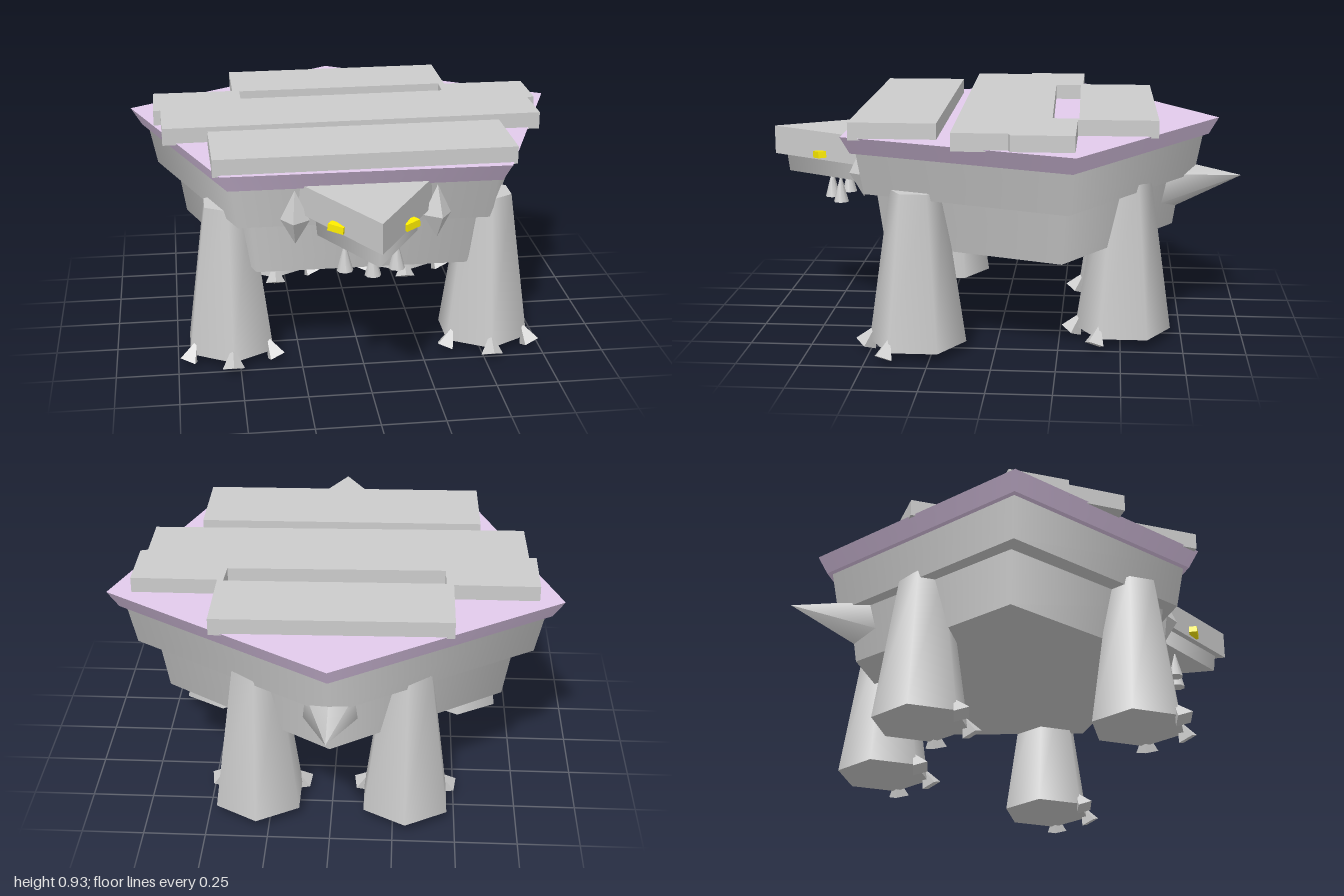
import * as THREE from 'three';

const grey = new THREE.MeshStandardMaterial({ color: 0xcccccc });
const flatGrey = new THREE.MeshStandardMaterial({ color: 0xcccccc, flatShading: true });
const purple = new THREE.MeshStandardMaterial({ color: 0xe2cbec });
const yellow = new THREE.MeshStandardMaterial({ color: 0xffee00 });

export function createModel() {
  const model = new THREE.Group();

  const add = (parent, name, geometry, material, x = 0, y = 0, z = 0) => {
    const mesh = new THREE.Mesh(geometry, material);
    mesh.name = name;
    mesh.position.set(x, y, z);
    parent.add(mesh);
    return mesh;
  };

  // Tapered pentagon tier, one corner pointing back, stretched sideways
  const tier = (name, rTop, rBottom, y0, y1, stretch, material) => {
    const g = new THREE.CylinderGeometry(rTop, rBottom, y1 - y0, 5, 1, false, Math.PI);
    g.scale(stretch, 1, 1);
    add(model, name, g, material, 0, (y0 + y1) / 2, -0.07);
  };
  tier('lowerBody', 0.68, 0.645, 0.41, 0.64, 1.12, grey);
  tier('upperBody', 0.765, 0.732, 0.63, 0.805, 1.154, grey);
  tier('shellRim', 0.829, 0.788, 0.8, 0.87, 1.154, purple);

  // Flat slabs on the shell, outlined as [x, z]
  const slab = (name, outline, hole) => {
    const points = (list) => list.map(([x, z]) => new THREE.Vector2(x, -z));
    const shape = new THREE.Shape(points(outline));
    if (hole) shape.holes.push(new THREE.Path(points(hole)));
    const g = new THREE.ExtrudeGeometry(shape, { depth: 0.07, bevelEnabled: false });
    g.rotateX(-Math.PI / 2);
    add(model, name, g, grey, 0, 0.863, 0);
  };
  slab('frontSlab', [[-0.595, 0.235], [0.59, 0.22], [0.59, 0.565], [-0.59, 0.58]]);
  slab('rearSlab',
    [[-0.775, 0.18], [0.78, 0.145], [0.78, -0.07], [0.81, -0.08], [0.81, -0.32], [0.465, -0.32],
      [0.465, -0.635], [-0.47, -0.62], [-0.47, -0.32], [-0.81, -0.32], [-0.81, -0.07], [-0.78, -0.07]],
    [[-0.44, -0.31], [0.44, -0.325], [0.435, -0.22], [-0.44, -0.2]]);

  // Legs, each with three claws fanned around the front of the foot
  const leg = (name, x, z) => {
    const group = new THREE.Group();
    group.name = name;
    group.position.set(x, 0, z);
    model.add(group);
    add(group, 'legColumn', new THREE.CylinderGeometry(0.105, 0.195, 0.62, 6), grey, 0, 0.35, 0);
    for (const angle of [-1, 0, 1]) {
      const claw = add(group, 'claw', new THREE.ConeGeometry(0.045, 0.09, 4), flatGrey,
        Math.sin(angle) * 0.19, 0.061, Math.cos(angle) * 0.19);
      claw.rotation.set(-0.5, angle, 0, 'YXZ');
    }
  };
  for (const side of [-1, 1]) {
    leg('frontLeg', side * 0.53, 0.31);
    leg('backLeg', side * 0.3, -0.51);
  }

  // Wedge-shaped head and jaw
  const head = new THREE.Group();
  head.name = 'head';
  model.add(head);
  add(head, 'skull', new THREE.CylinderGeometry(0.3, 0.3, 0.12, 3), flatGrey, 0, 0.75, 0.69);
  add(head, 'jaw', new THREE.CylinderGeometry(0.235, 0.225, 0.08, 3), grey, 0, 0.655, 0.705);

  // Chin spikes, wide end down
  for (const [x, z] of [[-0.1, 0.69], [0, 0.745], [0.1, 0.69]]) {
    add(head, 'chinSpike', new THREE.ConeGeometry(0.032, 0.12, 8), grey, x, 0.565, z);
  }

  // Eyes and diamond-shaped cheek horns
  for (const side of [-1, 1]) {
    const eye = add(head, 'eye', new THREE.BoxGeometry(0.065, 0.028, 0.035), yellow, side * 0.138, 0.715, 0.77);
    eye.rotation.set(0, side * 0.55, side * 0.12, 'YXZ');

    const profile = [[0, -0.1], [0.058, 0], [0, 0.12]].map(([r, y]) => new THREE.Vector2(r, y));
    const horn = add(head, 'cheekHorn', new THREE.LatheGeometry(profile, 4), flatGrey, side * 0.278, 0.67, 0.56);
    horn.rotation.y = side * 0.2;
  }

  // Tail cone, pointing back and slightly up
  const tail = add(model, 'tail', new THREE.ConeGeometry(0.135, 0.38, 6), grey, 0, 0.602, -0.811);
  tail.rotation.x = -Math.PI / 2 + 0.12;

  return model;
}
